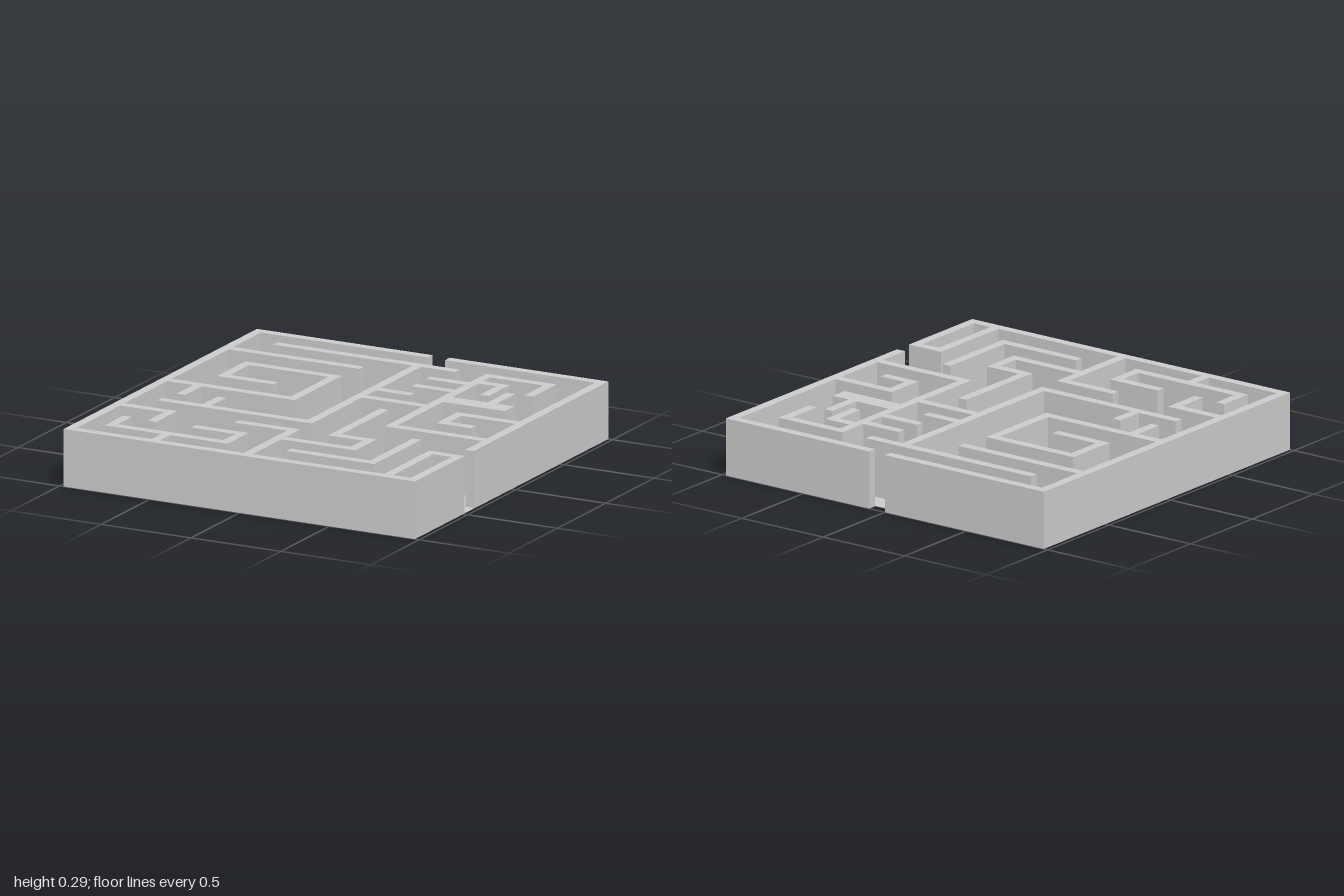
import * as THREE from 'three';
import { mergeGeometries } from 'three/addons/utils/BufferGeometryUtils.js';

const T = 0.048; // wall thickness
const H = 0.294; // wall height
const X = 0.953, Z = 0.976; // centre lines of the outer walls

// Each wall is a centre line of [x, z] points; its ends are exact.
const outerWalls = [
  [[0.095, -Z], [X, -Z], [X, 0.39]],
  [[X, 0.487], [X, Z], [-X, Z], [-X, -Z], [0, -Z]],
];
const leftMazeWalls = [
  // top bar, central spine and its spur
  [[-0.778, -0.816], [0.238, -0.816]],
  [[0.024, -0.792], [0.024, 0.315], [-0.81, 0.315]],
  [[-0.56, 0.14], [-0.56, 0.291]],
  [[-0.929, -0.64], [-0.2, -0.64]],
  // square spiral
  [[-0.444, -0.2], [-0.733, -0.2], [-0.733, -0.445], [-0.244, -0.445], [-0.244, -0.005], [-0.929, -0.005]],
  [[-0.76, 0.019], [-0.76, 0.19]],
  // front corner
  [[-0.929, 0.482], [-0.66, 0.482], [-0.66, 0.676]],
  [[-0.807, 0.655], [-0.807, 0.825], [-0.17, 0.825], [-0.17, 0.657], [-0.44, 0.657]],
  [[-0.49, 0.849], [-0.49, 0.952]],
  [[-0.296, 0.482], [0.024, 0.482], [0.024, 0.952]],
];
const rightMazeWalls = [
  // front half
  [[0.048, 0.632], [0.436, 0.632], [0.436, 0.461], [0.241, 0.461], [0.241, -0.05]],
  [[0.632, 0.337], [0.632, 0.8], [0.169, 0.8]],
  [[0.929, 0.511], [0.804, 0.511], [0.804, 0.952]],
  // long wall of the back half
  [[0.754, -0.59], [0.754, -0.811], [0.41, -0.811], [0.41, 0.19], [0.929, 0.19]],
  // short bars between the spine and the long wall
  [[0.169, -0.64], [0.386, -0.64]],
  [[0.169, -0.493], [0.386, -0.493]],
  [[0.048, -0.347], [0.238, -0.347]],
  [[0.048, -0.2], [0.386, -0.2]],
  // hooks, and a double-thickness bar with a spur
  [[0.434, -0.689], [0.558, -0.689], [0.558, -0.495]],
  [[0.434, -0.371], [0.778, -0.371]],
  [[0.434, -0.323], [0.778, -0.323]],
  [[0.656, -0.59], [0.656, -0.395]],
  [[0.929, -0.15], [0.606, -0.15], [0.606, 0.019], [0.778, 0.019]],
];

// Builds one wall from boxes; each corner square belongs to the run that leaves it.
function wallGeometry(points) {
  const runs = [];
  for (let i = 0; i + 1 < points.length; i++) {
    const a = new THREE.Vector2(...points[i]);
    const b = new THREE.Vector2(...points[i + 1]);
    const dir = b.clone().sub(a).normalize();
    if (i > 0) a.addScaledVector(dir, -T / 2);
    if (i + 2 < points.length) b.addScaledVector(dir, -T / 2);
    const w = Math.abs(b.x - a.x) || T;
    const d = Math.abs(b.y - a.y) || T;
    runs.push(new THREE.BoxGeometry(w, H, d).translate((a.x + b.x) / 2, H / 2, (a.y + b.y) / 2));
  }
  return mergeGeometries(runs);
}

export function createModel() {
  const model = new THREE.Group();
  model.name = 'maze';
  const grey = new THREE.MeshStandardMaterial({ color: 0xcccccc });

  const addWalls = (name, walls) => {
    const group = new THREE.Group();
    group.name = name;
    for (const points of walls) {
      const wall = new THREE.Mesh(wallGeometry(points), grey);
      wall.name = 'wall';
      group.add(wall);
    }
    model.add(group);
  };
  addWalls('outerWalls', outerWalls);
  addWalls('leftMazeWalls', leftMazeWalls);
  addWalls('rightMazeWalls', rightMazeWalls);

  // Thin floor, stopping short of the back doorway
  const backEdge = -Z + T / 2, frontEdge = Z + T / 2;
  const floor = new THREE.Mesh(new THREE.BoxGeometry(2 * X + T, 0.004, frontEdge - backEdge), grey);
  floor.position.set(0, 0.002, (frontEdge + backEdge) / 2);
  floor.name = 'floor';
  model.add(floor);
  return model;
}
